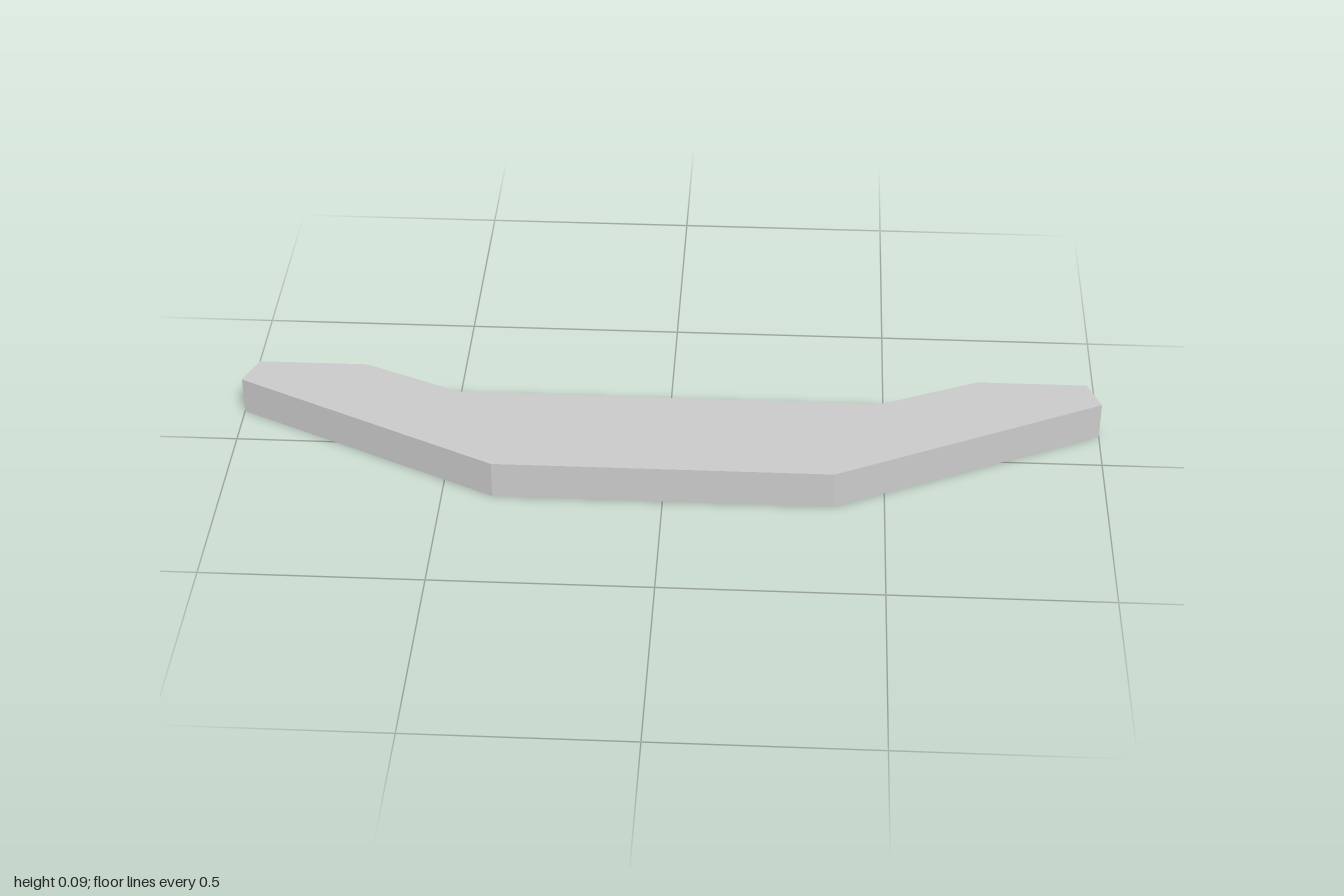
import * as THREE from 'three';

const HEIGHT = 0.09, PLATE = 0.02;

// Mirrors a half outline of [x, z] points, listed from the back to the front
function mirrored(half) {
  const other = half.map(([x, z]) => [-x, z]).reverse();
  return new THREE.Shape([...half, ...other].map(([x, z]) => new THREE.Vector2(x, z)));
}

// Extrudes a plan-view shape between two heights
function slab(name, shape, bottom, top, material) {
  const geometry = new THREE.ExtrudeGeometry(shape, {
    depth: top - bottom, bevelEnabled: false, curveSegments: 10,
  });
  geometry.rotateX(Math.PI / 2).translate(0, top, 0);
  const mesh = new THREE.Mesh(geometry, material);
  mesh.name = name;
  return mesh;
}

export function createModel() {
  const group = new THREE.Group();
  group.name = 'bumper';
  const material = new THREE.MeshStandardMaterial({ color: 0xcccccc });
  const outline = [[0.97, -0.19], [1, -0.112], [0.385, 0.19]];

  // Thin mounting plate with four screw holes
  const plate = mirrored(outline);
  for (const [x, z] of [[0.5, -0.15], [0.18, -0.13]]) {
    for (const side of [-1, 1]) {
      plate.holes.push(new THREE.Path().absarc(side * x, z, 0.013, 0, Math.PI * 2, true));
    }
  }
  group.add(slab('mountingPlate', plate, 0, PLATE, material));

  // Thick body wrapping around the recess at the back
  const recess = [[0.46, -0.077], [0.715, -0.19]];
  group.add(slab('body', mirrored([...recess, ...outline]), PLATE, HEIGHT, material));

  return group;
}
